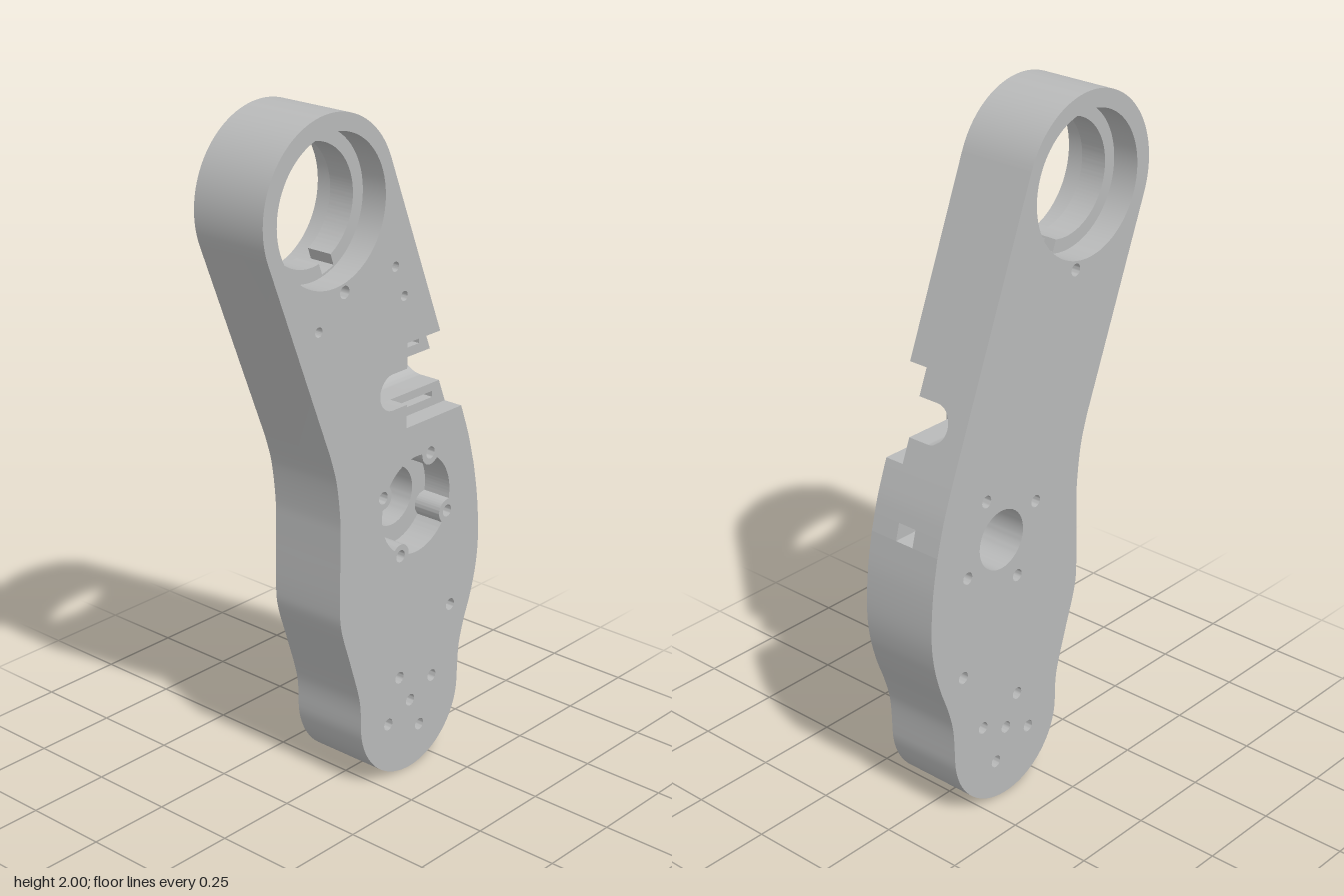
import * as THREE from 'three';
import { toCreasedNormals } from 'three/addons/utils/BufferGeometryUtils.js';

const V = (x, y) => new THREE.Vector2(x, y);
const BACK = -0.12, FRONT = 0.12;

// Points on an arc, from angle a to angle b
function arc(cx, cy, r, a, b, n = 48) {
  return Array.from({ length: n + 1 }, (_, i) => {
    const t = a + (b - a) * i / n;
    return V(cx + r * Math.cos(t), cy + r * Math.sin(t));
  });
}
const circle = (cx, cy, r, n = 64) => arc(cx, cy, r, 0, Math.PI * 2, n);
const spline = (pts, n) => new THREE.SplineCurve(pts.map(p => V(p[0], p[1]))).getPoints(n);
const rect = (x0, y0, x1, y1) => [V(x0, y0), V(x1, y0), V(x1, y1), V(x0, y1), V(x0, y0)];

// Closed loop whose radius depends on the angle
function polar(cx, cy, radius, n = 240) {
  return Array.from({ length: n + 1 }, (_, i) => {
    const t = i / n * Math.PI * 2, r = radius(t);
    return V(cx + r * Math.cos(t), cy + r * Math.sin(t));
  });
}

// Surface through a grid of points
function grid(rows) {
  const g = new THREE.BufferGeometry(), n = rows[0].length, index = [];
  g.setAttribute('position', new THREE.Float32BufferAttribute(rows.flat(2), 3));
  for (let i = 0; i < rows.length - 1; i++) for (let j = 0; j < n - 1; j++) {
    const a = i * n + j, b = a + n;
    index.push(a, a + 1, b + 1, a, b + 1, b);
  }
  g.setIndex(index);
  return toCreasedNormals(g, 0.6);
}

// Upright wall along a path; open space lies to the left of travel
function wall(path, z0, z1) {
  const top = typeof z1 === 'function' ? z1 : () => z1;
  return grid(path.map(p => [[p.x, p.y, z0], [p.x, p.y, top(p)]]));
}

// Flat face with holes, facing the front or the back
function face(outline, holes, z, back = false) {
  const shape = new THREE.Shape(outline);
  shape.holes = holes.map(h => new THREE.Path(h));
  const g = new THREE.ShapeGeometry(shape).translate(0, 0, z);
  if (back) {
    g.index.array.reverse();
    g.computeVertexNormals();
  }
  return g;
}

export function createModel() {
  const group = new THREE.Group();
  const metal = new THREE.MeshStandardMaterial({ color: 0xb8b9b9 });
  metal.name = 'grey metal';
  const add = (name, ...geometries) => {
    const part = new THREE.Group();
    part.name = name;
    geometries.forEach(g => {
      const m = new THREE.Mesh(g, metal);
      m.name = name;
      part.add(m);
    });
    group.add(part);
  };

  // Cable channel and pocket sizes
  const edge = y => V(0.043 + (1.841 - y) * 0.397, y);
  const yHigh = 1.313, yLow = 1.066, yc = 1.187, r = 0.0525, zc = -0.006, xEnd = 0.057;
  const pocketX = 0.115, pocketZ = 0.06;

  // Outline, clockwise from the top of the right-hand edge
  const upper = [edge(1.841), edge(yHigh)];
  const mouth = arc(0, yc, r, Math.PI / 2, -Math.PI / 2, 24).map(p => edge(p.y));
  const side1 = [edge(yLow), ...spline([[0.357, 1.05], [0.384, 0.975], [0.4, 0.92]], 12)];
  const slot = [V(0.4, 0.92), V(0.413, 0.87)];
  const side2 = [
    ...spline([[0.413, 0.87], [0.432, 0.76], [0.44, 0.64], [0.432, 0.55], [0.41, 0.465],
      [0.38, 0.385], [0.36, 0.31], [0.354, 0.212]], 50),
    ...arc(0.142, 0.212, 0.212, 0, -Math.PI, 48).slice(1),
    ...spline([[-0.07, 0.212], [-0.076, 0.3], [-0.115, 0.43], [-0.15, 0.54], [-0.158, 0.62],
      [-0.155, 0.8], [-0.156, 0.88], [-0.17, 0.99], [-0.195, 1.075]], 50).slice(1),
    ...arc(-0.19, 1.75, 0.25, Math.PI + 0.372, 0.372, 64),
  ];
  const lower = [...side1, ...slot.slice(1), ...side2.slice(1)];

  // Stepped notch cut into the front face
  const end = arc(xEnd, yc, r, Math.PI / 2, Math.PI * 1.5, 24);
  const notch = [edge(yHigh), V(pocketX, yHigh), V(pocketX, yc + r), ...end,
    V(pocketX, yc - r), V(pocketX, yLow), edge(yLow)];

  add('outerWall',
    wall(upper, BACK, FRONT),
    wall([edge(yHigh), edge(yc + r)], BACK, pocketZ),
    wall(mouth, BACK, p => zc - Math.sqrt(Math.max(0, r * r - (p.y - yc) ** 2))),
    wall([edge(yc - r), edge(yLow)], BACK, pocketZ),
    wall(side1, BACK, FRONT),
    wall(slot, BACK, -0.03), wall(slot, 0.03, FRONT),
    wall(side2, BACK, FRONT));

  // Blind slot in the edge, open at the outer wall
  const slotPath = [slot[0], V(0.32, 0.92), V(0.32, 0.87), slot[1]];
  add('edgeSlot', wall(slotPath, -0.03, 0.03), face(slotPath, [], -0.03), face(slotPath, [], 0.03, true));

  // Small screw holes
  const bolts = [[0.02, 0.888], [0.219, 0.963], [0.296, 0.762], [0.095, 0.688]];
  const through = [...bolts, [0.317, 0.46], [0.095, 0.307], [0.238, 0.26], [0.143, 0.217],
    [0.048, 0.175], [0.185, 0.122], [-0.138, 1.518]].map(([x, y]) => circle(x, y, 0.018, 24));
  const blind = [[-0.238, 1.434], [0.063, 1.54], [0.1, 1.45]].map(([x, y]) => circle(x, y, 0.014, 20));
  add('screwHoles', ...through.map(h => wall(h, BACK, FRONT)));
  add('blindHoles', ...blind.flatMap(h => [wall(h, 0.03, FRONT), face(h, [], 0.03)]));

  // Bearing seat: bored from both sides, with a notched lip between
  const seat = circle(-0.184, 1.744, 0.206, 96);
  const lip = polar(-0.184, 1.744, t => Math.abs(t - (Math.PI * 2 - 1.22)) < 0.14 ? 0.2 : 0.167);
  add('bearingSeat', wall(seat, 0.04, FRONT), wall(seat, BACK, -0.04));
  add('bearingLip', face(seat, [lip], 0.04), face(seat, [lip], -0.04, true), wall(lip, -0.04, 0.04));

  // Round recess, narrowed by a boss around each bolt hole
  const cx = 0.16, cy = 0.825;
  const recess = polar(cx, cy, t => {
    let radius = 0.145;
    for (const [x, y] of bolts) {
      const d = Math.hypot(x - cx, y - cy), a = t - Math.atan2(y - cy, x - cx);
      const q = 0.035 ** 2 - (d * Math.sin(a)) ** 2;
      if (q > 0 && Math.cos(a) > 0) radius = Math.min(radius, d * Math.cos(a) - Math.sqrt(q));
    }
    return radius;
  });
  const bore = circle(cx, cy, 0.088);
  add('hubRecess', wall(recess, 0.03, FRONT), face(recess, [bore], 0.03));
  add('hubBore', wall(bore, BACK, 0.03));

  // Pocket with two slotted shelves beside the round-bottomed channel
  const ties = [rect(0.145, 1.267, 0.235, 1.285), rect(0.145, 1.092, 0.295, 1.11)];
  const shelf = (a, b, tie) =>
    face([V(pocketX, a), edge(a), edge(b), V(pocketX, b)], [tie], pocketZ);
  add('pocket', wall(notch, pocketZ, FRONT),
    shelf(yc + r, yHigh, ties[0]), shelf(yLow, yc - r, ties[1]));
  add('tieSlots', ...ties.flatMap(t => [wall(t, 0.02, pocketZ), face(t, [], 0.02)]));
  const rows = [];
  for (let i = 0; i <= 11; i++) {
    const phi = Math.max(0, Math.PI / 2 * (1 - i / 10)), row = [];
    for (let j = 0; j <= 24; j++) {
      const t = Math.PI * j / 24, k = r * Math.cos(phi), y = yc + k * Math.cos(t);
      row.push([i > 10 ? edge(y).x : xEnd - r * Math.sin(phi), y, zc - k * Math.sin(t)]);
    }
    rows.push(row);
  }
  add('cableChannel', grid(rows),
    wall([edge(yc + r), ...end, edge(yc - r)], zc, pocketZ));

  // Front and back faces
  add('frontFace', face([upper[0], ...notch, ...lower.slice(1)], [seat, recess, ...through, ...blind], FRONT));
  add('backFace', face([...upper, ...mouth, ...lower], [seat, bore, ...through], BACK, true));
  return group;
}
